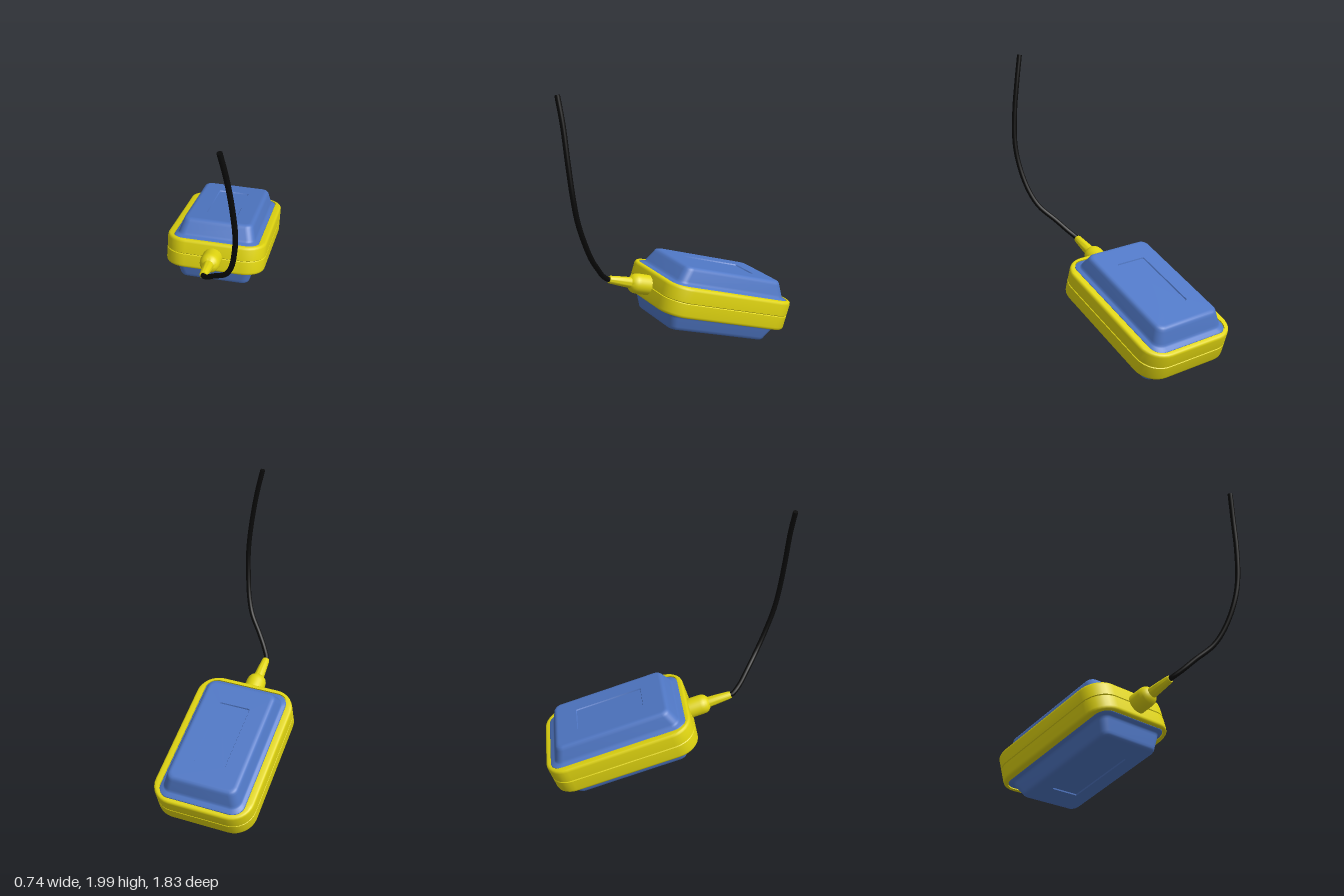
import * as THREE from 'three';
import { toCreasedNormals } from 'three/addons/utils/BufferGeometryUtils.js';

const yellow = new THREE.MeshStandardMaterial({ color: 0xe0d510 });
yellow.name = 'yellow plastic';
const blue = new THREE.MeshStandardMaterial({ color: 0x5078c6 });
blue.name = 'blue plastic';
const black = new THREE.MeshStandardMaterial({ color: 0x0a0a0a });
black.name = 'black rubber';

const CORNER = 8; // segments per rounded corner

// Outline of a rounded rectangle in the xz plane
function ringPoints([hx, hz, r, y]) {
  const points = [];
  for (let q = 0; q < 4; q++) {
    const sx = q === 0 || q === 3 ? 1 : -1;
    const sz = q < 2 ? 1 : -1;
    for (let i = 0; i <= CORNER; i++) {
      const a = (q + i / CORNER) * Math.PI / 2;
      points.push([sx * (hx - r) + r * Math.cos(a), y, sz * (hz - r) + r * Math.sin(a)]);
    }
  }
  return points;
}

// Skin over rounded rectangles [halfWidth, halfLength, radius, height], capped at the end
function loft(rings) {
  const n = 4 * (CORNER + 1);
  const positions = rings.flatMap(ringPoints).flat();
  const index = [];
  for (let i = 0; i < rings.length - 1; i++) {
    for (let j = 0; j < n; j++) {
      const a = i * n + j, b = i * n + (j + 1) % n;
      index.push(a, a + n, b, b, a + n, b + n);
    }
  }
  const last = (rings.length - 1) * n, centre = rings.length * n;
  positions.push(0, rings[rings.length - 1][3], 0);
  for (let j = 0; j < n; j++) index.push(centre, last + (j + 1) % n, last + j);
  const geometry = new THREE.BufferGeometry();
  geometry.setAttribute('position', new THREE.Float32BufferAttribute(positions, 3));
  geometry.setIndex(index);
  return toCreasedNormals(geometry, 0.7);
}

function addMesh(parent, name, geometry, material) {
  const mesh = new THREE.Mesh(geometry, material);
  mesh.name = name;
  parent.add(mesh);
  return mesh;
}

export function createModel() {
  const model = new THREE.Group();
  model.name = 'floatSwitch';

  // Tilted float body, long axis along local z
  const body = new THREE.Group();
  body.name = 'floatBody';
  body.position.set(0, 0.36, -0.357);
  body.rotation.x = -THREE.MathUtils.degToRad(18.2);
  model.add(body);

  // Half of the yellow band: seam groove, wall, rounded rim, recess
  const bandHalf = loft([
    [0.364, 0.548, 0.154, 0],
    [0.37, 0.554, 0.16, 0.005],
    [0.37, 0.554, 0.16, 0.012],
    [0.37, 0.554, 0.16, 0.088],
    [0.368, 0.552, 0.158, 0.099],
    [0.362, 0.546, 0.152, 0.107],
    [0.353, 0.537, 0.143, 0.11],
    [0.32, 0.52, 0.09, 0.11],
    [0.32, 0.52, 0.09, 0.097],
  ]);

  // Blue shell: flange, sloping wall, rounded edge, sunken panel
  const shell = loft([
    [0.315, 0.515, 0.085, 0.09],
    [0.315, 0.515, 0.085, 0.106],
    [0.309, 0.508, 0.08, 0.112],
    [0.294, 0.484, 0.07, 0.116],
    [0.287, 0.475, 0.065, 0.124],
    [0.283, 0.469, 0.06, 0.138],
    [0.264, 0.439, 0.06, 0.205],
    [0.259, 0.432, 0.055, 0.22],
    [0.25, 0.423, 0.05, 0.23],
    [0.236, 0.409, 0.04, 0.235],
    [0.226, 0.399, 0.035, 0.235],
    [0.117, 0.255, 0.012, 0.235],
    [0.113, 0.251, 0.01, 0.226],
  ]);

  for (const side of ['upper', 'lower']) {
    const band = addMesh(body, side + 'Band', bandHalf, yellow);
    const cover = addMesh(body, side + 'Shell', shell, blue);
    if (side === 'lower') band.rotation.z = cover.rotation.z = Math.PI;
  }

  // Cable gland: rounded socket and tapering sleeve
  const profile = [
    [0.073, 0.5], [0.073, 0.64], [0.07, 0.665], [0.06, 0.685], [0.046, 0.697],
    [0.039, 0.702], [0.036, 0.76], [0.028, 0.865], [0.025, 0.873], [0, 0.873],
  ].map(([r, h]) => new THREE.Vector2(r, h));
  const gland = toCreasedNormals(new THREE.LatheGeometry(profile, 32), 0.7);
  addMesh(body, 'cableGland', gland, yellow).rotation.x = Math.PI / 2;

  // Cable rising from the gland
  const path = new THREE.CatmullRomCurve3([
    [0, 0.618, 0.44], [0, 0.635, 0.48], [0.04, 0.685, 0.54], [0.105, 0.765, 0.605],
    [0.2, 0.875, 0.692], [0.25, 1.0, 0.757], [0.282, 1.18, 0.822], [0.293, 1.35, 0.855],
    [0.275, 1.58, 0.875], [0.24, 1.81, 0.885], [0.202, 1.997, 0.9],
  ].map((p) => new THREE.Vector3(...p)));
  addMesh(model, 'cable', new THREE.TubeGeometry(path, 60, 0.018, 14), black);

  // Flat end of the cable
  const tip = addMesh(model, 'cableEnd', new THREE.CircleGeometry(0.018, 14), black);
  tip.position.copy(path.getPoint(1));
  tip.lookAt(path.getPoint(1).add(path.getTangent(1)));

  return model;
}
